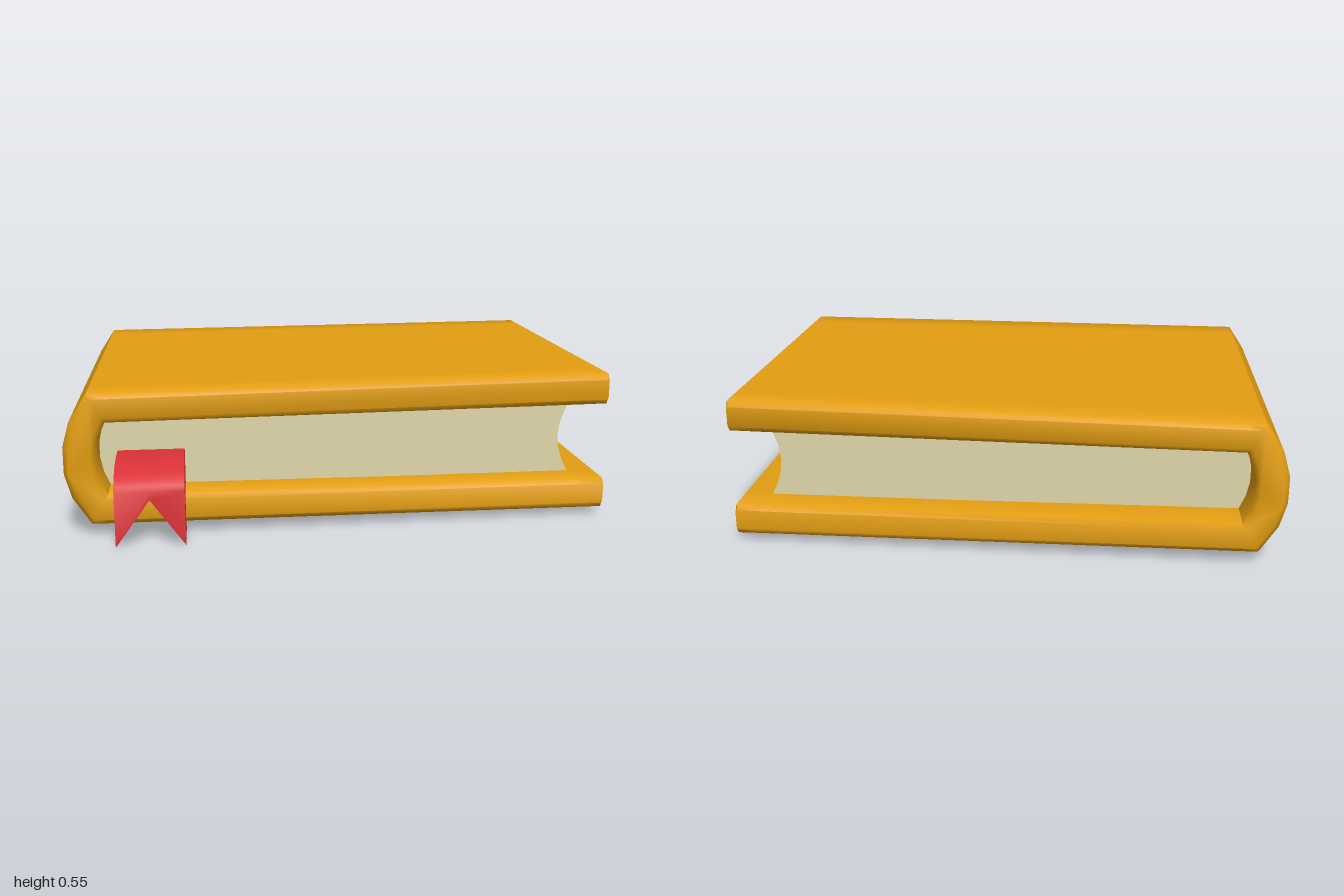
import * as THREE from 'three';
import { toCreasedNormals } from 'three/addons/utils/BufferGeometryUtils.js';

const coverMaterial = new THREE.MeshStandardMaterial({ color: 0xe39e12 });
coverMaterial.name = 'golden cover';
const paperMaterial = new THREE.MeshStandardMaterial({ color: 0xdfd7aa });
paperMaterial.name = 'cream paper';
const ribbonMaterial = new THREE.MeshStandardMaterial({ color: 0xd83236 });
ribbonMaterial.name = 'red ribbon';

const MID_Y = 0.286; // height of the book's mirror plane
const MID_Z = -0.055; // centre of the book from front to back

// Mirror the upper half of a profile about the middle height
const mirrored = (points) => points.map(([x, y]) => [x, 2 * MID_Y - y]).reverse();
const toShape = (points) => new THREE.Shape(points.map(([x, y]) => new THREE.Vector2(x, y)));

// Apply a rule to every vertex
function deform(geometry, rule) {
  const position = geometry.attributes.position;
  const v = new THREE.Vector3();
  for (let i = 0; i < position.count; i++) {
    rule(v.fromBufferAttribute(position, i));
    position.setXYZ(i, v.x, v.y, v.z);
  }
  return geometry;
}

function part(name, geometry, material, crease) {
  const mesh = new THREE.Mesh(toCreasedNormals(geometry, crease), material);
  mesh.name = name;
  return mesh;
}

// Both boards and the rounded spine in one C-shaped section
function createCover() {
  const outer = [
    [-1, MID_Y + 0.05], [-0.975, 0.425], [-0.91, 0.525], [-0.85, 0.526],
    [0.92, 0.544], [0.98, 0.545], [0.998, 0.53],
  ];
  const inner = [
    [0.998, 0.446], [0.98, 0.431], [0.9, 0.43], [-0.85, 0.42],
    [-0.872, 0.37], [-0.884, MID_Y + 0.03],
  ];
  const upper = [...outer, ...inner];
  const bevel = 0.018;
  const depth = 1.42 - 2 * bevel;
  const geometry = new THREE.ExtrudeGeometry(toShape([...upper, ...mirrored(upper)]), {
    depth, steps: 12, bevelEnabled: true, bevelThickness: bevel,
    bevelSize: bevel, bevelOffset: -bevel, bevelSegments: 1,
  });
  geometry.translate(0, 0, -depth / 2);
  // Boards narrow from the spine towards the fore-edge, bevel stays attached
  deform(geometry, (v) => {
    v.x += v.x > 0.9 ? 0.018 * (v.x - 0.9) / 0.082 : 0;
    v.x = THREE.MathUtils.clamp(v.x, -1, 1);
    v.z = MID_Z + v.z * (1 - 0.0315 * (v.x + 1));
  });
  return part('cover', geometry, coverMaterial, 0.95);
}

// Page block with a rounded back and a hollow fore-edge
function createPages() {
  const half = [
    [-0.9, MID_Y], [-0.885, 0.36], [-0.85, 0.426], [0.89, 0.426],
    [0.868, 0.385], [0.852, 0.335], [0.846, MID_Y],
  ];
  const profile = [...half, ...mirrored(half).slice(1, -1)];
  const geometry = new THREE.ExtrudeGeometry(toShape(profile), { depth: 1.105, bevelEnabled: false });
  geometry.translate(0, 0, -0.605);
  return part('pages', geometry, paperMaterial, 0.6);
}

// Bookmark folding over the lower board, with a swallow-tail notch
function createBookmark() {
  const width = 0.245;
  const shape = new THREE.Shape();
  shape.moveTo(0.765, 0);
  shape.lineTo(0.765, 0.2);
  shape.bezierCurveTo(0.745, 0.25, 0.65, 0.28, 0.56, 0.28);
  shape.lineTo(0.49, 0.28);
  shape.lineTo(0.49, 0.1);
  shape.lineTo(0.585, 0.1);
  shape.lineTo(0.585, 0);
  const geometry = new THREE.ExtrudeGeometry(shape, {
    depth: width, steps: 2, curveSegments: 8, bevelEnabled: false,
  });
  deform(geometry, (v) => {
    if (Math.abs(v.z - width / 2) < 0.01) v.y = Math.max(v.y, 0.17);
  });
  geometry.rotateY(-Math.PI / 2).translate(-0.575, 0, 0);
  return part('bookmark', geometry, ribbonMaterial, 0.6);
}

export function createModel() {
  const book = new THREE.Group();
  book.name = 'book';
  book.add(createCover(), createPages(), createBookmark());
  return book;
}
